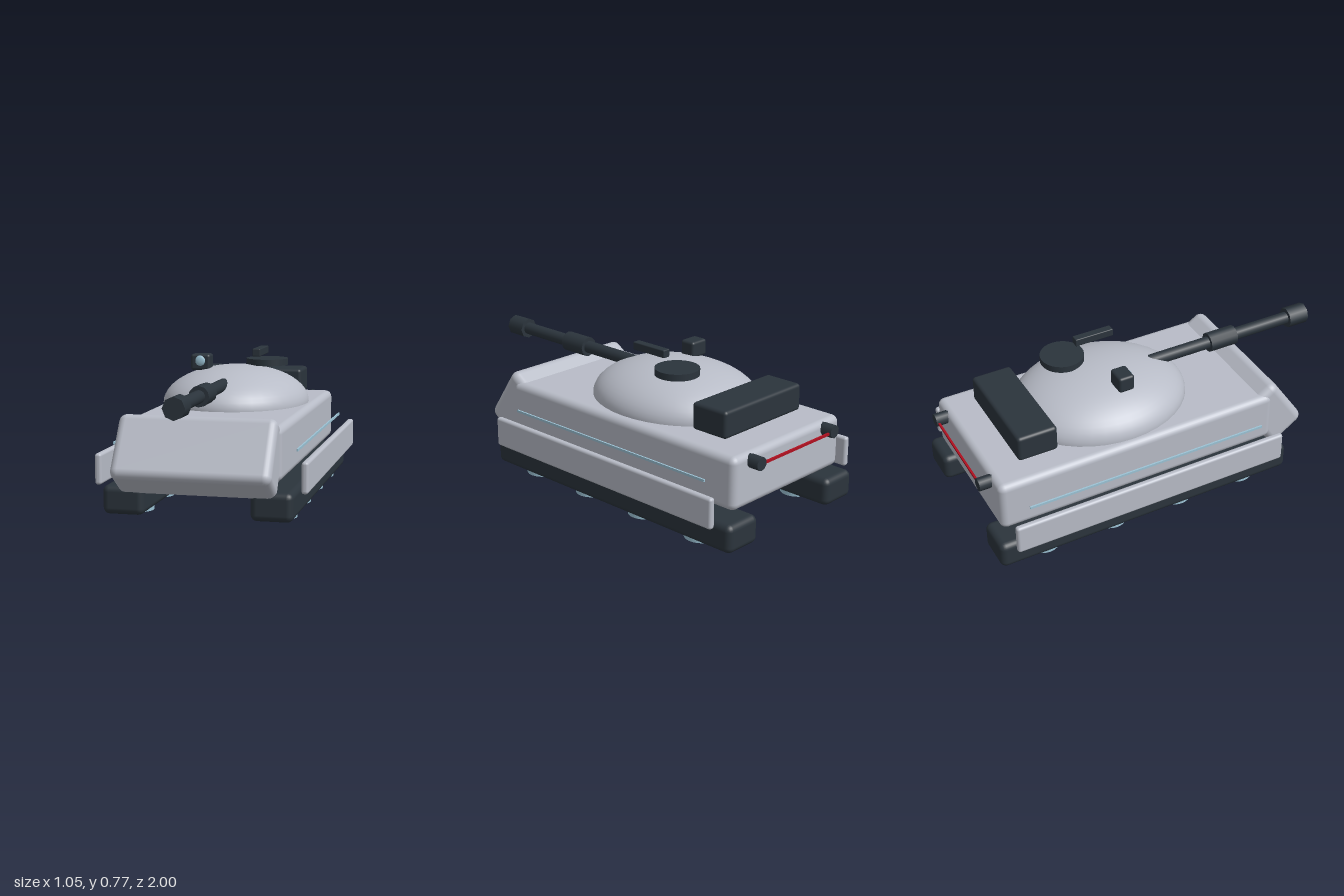
import * as THREE from 'three';
import { RoundedBoxGeometry } from 'three/addons/geometries/RoundedBoxGeometry.js';

const material = (name, color) => {
  const m = new THREE.MeshStandardMaterial({ color });
  m.name = name;
  return m;
};

export function createModel() {
  const model = new THREE.Group();
  model.name = 'tank';
  const armor = material('armorGrey', 0xb8bcc7);
  const dark = material('darkSteel', 0x2b343c);
  const glass = material('paleBlue', 0x9cc3d5);
  const red = material('red', 0xb01020);

  const add = (name, geometry, mat, x, y, z) => {
    const mesh = new THREE.Mesh(geometry, mat);
    mesh.name = name;
    mesh.position.set(x, y, z);
    model.add(mesh);
    return mesh;
  };
  const box = (w, h, d, r) => new RoundedBoxGeometry(w, h, d, 3, r);
  // Cylinder lying along z
  const rod = (r, length, sides) => new THREE.CylinderGeometry(r, r, length, sides).rotateX(Math.PI / 2);

  // Hull and sloped front plate
  add('hull', box(0.796, 0.265, 1.51, 0.035), armor, 0, 0.3275, -0.185);
  add('frontPlate', box(0.776, 0.34, 0.22, 0.04), armor, 0, 0.315, 0.594).rotation.x = -0.6;

  // Running gear and side details, mirrored
  for (const [side, s] of [['left', 1], ['right', -1]]) {
    add(side + 'Track', box(0.206, 0.142, 1.61, 0.032), dark, s * 0.363, 0.089, -0.176);
    add(side + 'Skirt', box(0.034, 0.154, 1.475, 0.014), armor, s * 0.509, 0.223, -0.178);
    add(side + 'LightStrip', new THREE.BoxGeometry(0.008, 0.012, 1.285), glass, s * 0.456, 0.34, -0.173);
    for (let i = 0; i < 4; i++) {
      add(side + 'Wheel' + (i + 1), new THREE.CylinderGeometry(0.083, 0.083, 0.05, 24), glass,
        s * 0.362, 0.025, 0.39 - i * 0.37);
    }
    add(side + 'Exhaust', rod(0.033, 0.09, 10), dark, s * 0.274, 0.42, -0.955);
  }
  add('rearLightBar', new THREE.BoxGeometry(0.54, 0.012, 0.01), red, 0, 0.415, -0.988);

  // Domed turret with closed underside and rear stowage box
  const dome = new THREE.SphereGeometry(1, 40, 14, 0, Math.PI * 2, 0, Math.PI / 2).scale(0.38, 0.192, 0.455);
  add('turretDome', dome, armor, 0, 0.476, -0.222);
  const base = new THREE.CircleGeometry(1, 40).rotateX(Math.PI / 2).scale(0.38, 1, 0.455);
  add('turretBase', base, armor, 0, 0.476, -0.222);
  add('stowageBox', box(0.56, 0.137, 0.208, 0.018), dark, 0, 0.544, -0.681);

  // Main gun
  add('barrel', rod(0.032, 0.95, 16), dark, 0, 0.594, 0.445);
  add('barrelSleeve', rod(0.051, 0.155, 12), dark, 0, 0.594, 0.489);
  add('muzzle', rod(0.054, 0.11, 8), dark, 0, 0.594, 0.945);

  // Roof fittings
  add('hatch', new THREE.CylinderGeometry(0.111, 0.111, 0.034, 28), dark, 0.138, 0.677, -0.352);
  add('roofGun', box(0.042, 0.04, 0.208, 0.005), dark, 0.138, 0.747, -0.178);
  add('sightHousing', box(0.104, 0.085, 0.084, 0.014), dark, -0.176, 0.684, -0.176);
  add('sightLens', new THREE.SphereGeometry(0.028, 16, 12).scale(1, 1, 0.4), glass, -0.176, 0.692, -0.137);

  return model;
}
